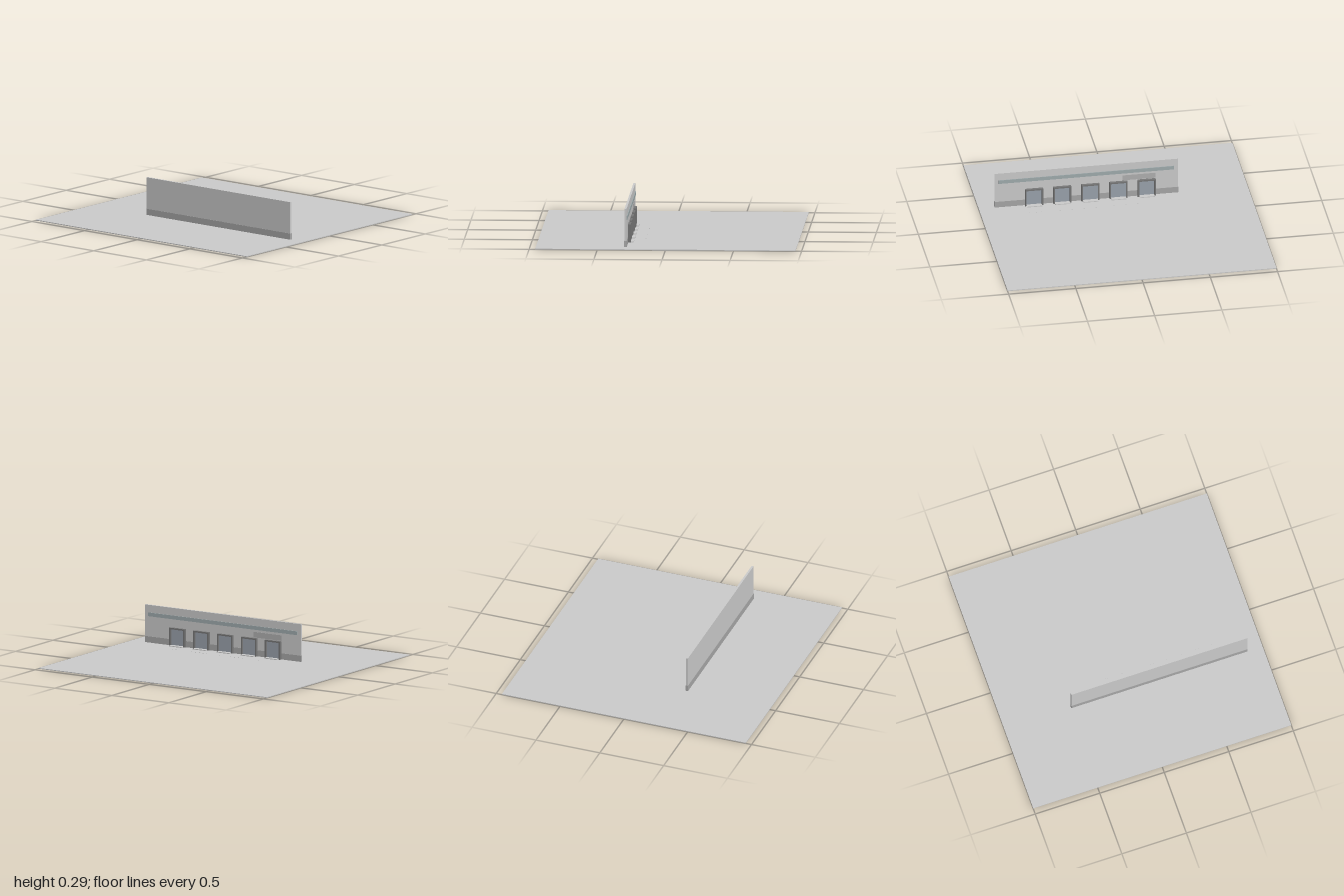
import * as THREE from 'three';

const GREY = 0xcccccc;

// Box given by its limits on each axis
function box(parent, name, [x0, x1], [y0, y1], [z0, z1], color = GREY) {
  const mesh = new THREE.Mesh(
    new THREE.BoxGeometry(x1 - x0, y1 - y0, z1 - z0),
    new THREE.MeshStandardMaterial({ color })
  );
  mesh.name = name;
  mesh.position.set((x0 + x1) / 2, (y0 + y1) / 2, (z0 + z1) / 2);
  parent.add(mesh);
  return mesh;
}

// Loading door: projecting frame, recessed panel and a low plate in front
function dockDoor(ground) {
  const door = new THREE.Group();
  door.name = 'dockDoor';
  const half = 0.067, top = 0.141, t = 0.011, depth = [-0.293, -0.271];
  const frame = 0x777777;
  for (const s of [-1, 1]) {
    const z = [s * half, s * (half - t)].sort((a, b) => a - b);
    box(door, 'frameJamb', depth, [ground, top], z, frame);
  }
  box(door, 'frameHead', depth, [top - t, top], [-half + t, half - t], frame);
  box(door, 'doorPanel', [-0.293, -0.284], [ground, top - t], [-half + t, half - t], 0x9aa2ac);
  box(door, 'dockPlate', [-0.284, -0.25], [ground, 0.012], [-half + t, half - t]);
  return door;
}

export function createModel() {
  const model = new THREE.Group();
  model.name = 'loadingDock';
  const ground = 0.006;

  // Yard and wall
  box(model, 'yard', [-0.955, 0.955], [0, ground], [-1, 1]);
  box(model, 'wall', [-0.306, -0.291], [ground, 0.287], [-0.482, 0.882]);
  box(model, 'wallBase', [-0.3075, -0.2895], [ground, 0.052], [-0.483, 0.883], 0xa8a8a8);

  // Long band near the top and the short panel above the last two doors
  box(model, 'upperBand', [-0.292, -0.286], [0.203, 0.231], [-0.452, 0.852], 0xa0acae);
  box(model, 'signPanel', [-0.292, -0.289], [0.145, 0.186], [-0.313, -0.07], 0xb0b0b0);

  // Row of five doors
  for (let i = 0; i < 5; i++) {
    const door = dockDoor(ground);
    door.position.z = 0.591 - i * 0.2092;
    model.add(door);
  }

  // Dashed marking on the yard, in three runs
  const marking = new THREE.Group();
  marking.name = 'yardMarking';
  for (const [start, end] of [[-0.2, 0.05], [0.14, 0.42], [0.52, 0.65]]) {
    for (let z = start; z < end; z += 0.03) {
      box(marking, 'dash', [-0.172, -0.168], [ground, ground + 0.001], [z, z + 0.014]);
    }
  }
  model.add(marking);

  return model;
}
